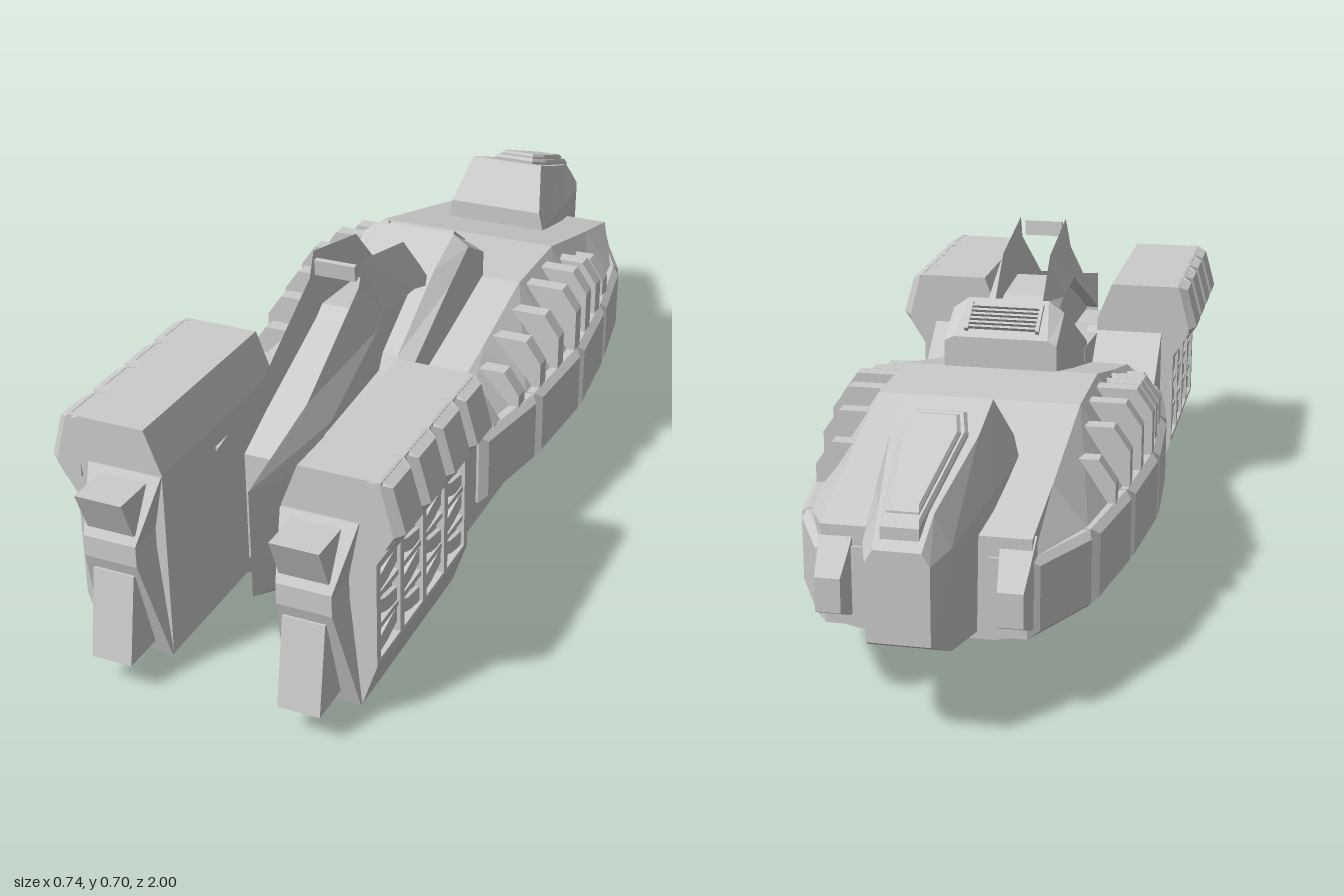
import * as THREE from 'three';

const material = new THREE.MeshStandardMaterial({ color: 0xcccccc, flatShading: true, side: THREE.DoubleSide });

// Closed solid through equal-length rings of [x, y, z] points, capped at both ends
function loft(rings) {
  const V = rings.map(r => r.map(p => new THREE.Vector3(...p)));
  const n = V[0].length, tris = [];
  for (let i = 0; i < V.length - 1; i++) {
    for (let j = 0; j < n; j++) {
      const k = (j + 1) % n;
      tris.push([V[i][j], V[i][k], V[i + 1][k]], [V[i][j], V[i + 1][k], V[i + 1][j]]);
    }
  }
  const cap = (ring, reverse) => {
    const normal = new THREE.Vector3();
    ring.forEach((p, j) => normal.add(p.clone().cross(ring[(j + 1) % n])));
    const a = normal.toArray().map(Math.abs), m = a.indexOf(Math.max(...a));
    const [u, v] = [['y', 'z'], ['x', 'z'], ['x', 'y']][m];
    const flat = ring.map(p => new THREE.Vector2(p[u], p[v]));
    for (const f of THREE.ShapeUtils.triangulateShape(flat, [])) {
      const [A, B, C] = f.map(q => ring[q]);
      const same = B.clone().sub(A).cross(C.clone().sub(A)).dot(normal) > 0;
      tris.push(same !== reverse ? [A, B, C] : [A, C, B]);
    }
  };
  cap(V[0], true);
  cap(V[V.length - 1], false);
  let volume = 0;
  for (const [A, B, C] of tris) volume += A.dot(B.clone().cross(C));
  const pos = [];
  for (const [A, B, C] of tris) {
    for (const p of volume > 0 ? [A, B, C] : [A, C, B]) pos.push(p.x, p.y, p.z);
  }
  const g = new THREE.BufferGeometry();
  g.setAttribute('position', new THREE.Float32BufferAttribute(pos, 3));
  g.computeVertexNormals();
  return g;
}

function add(parent, name, geometry) {
  const mesh = new THREE.Mesh(geometry, material);
  mesh.name = name;
  parent.add(mesh);
  return mesh;
}

// Symmetric cross-section at z from its right half, listed bottom to top
const section = (z, half) => [
  ...half.map(([x, y]) => [x, y, z]),
  ...half.slice().reverse().map(([x, y]) => [-x, y, z]),
];
const rect = (x0, x1, y0, y1, z) => [[x0, y0, z], [x1, y0, z], [x1, y1, z], [x0, y1, z]];
const atZ = (pts, z) => pts.map(([x, y]) => [x, y, z]);
const atX = (pts, x) => pts.map(([z, y]) => [x, y, z]);

// Outer half-width of the side belt along z
const beltPoints = [[0.32, 0.305], [0.09, 0.345], [-0.16, 0.36], [-0.4, 0.338], [-0.63, 0.3], [-0.81, 0.21]];
function beltX(z) {
  for (let i = 0; i < beltPoints.length - 1; i++) {
    const [z0, x0] = beltPoints[i], [z1, x1] = beltPoints[i + 1];
    if (z >= z1) return x0 + (x1 - x0) * (z - z0) / (z1 - z0);
  }
  return 0.21;
}

function buildSide(s) {
  const side = new THREE.Group();
  side.name = s > 0 ? 'leftSide' : 'rightSide';
  const solid = (name, rings) => add(side, name, loft(rings.map(r => r.map(([x, y, z]) => [x * s, y, z]))));
  const block = (name, x0, x1, y0, y1, z0, z1) => solid(name, [rect(x0, x1, y0, y1, z0), rect(x0, x1, y0, y1, z1)]);

  // Forward pod with a recessed outer wall
  const podOutline = [[0.125, 0.035], [0.283, 0.035], [0.315, 0.13], [0.315, 0.14], [0.298, 0.14], [0.298, 0.34],
    [0.315, 0.34], [0.315, 0.355], [0.352, 0.415], [0.35, 0.43], [0.325, 0.53], [0.16, 0.53], [0.125, 0.44]];
  solid('pod', [atZ(podOutline, 0.44), atZ(podOutline, 0.895)]);

  // Pod wall lattice with irregular plates
  for (let i = 0; i <= 4; i++) {
    const z = 0.45 + i * 0.109;
    block('podWallPost', 0.29, 0.315, 0.14, 0.34, z - 0.009, z + 0.009);
  }
  for (const y of [0.205, 0.275]) block('podWallRail', 0.29, 0.311, y - 0.006, y + 0.006, 0.45, 0.885);
  for (let i = 0; i < 4; i++) {
    for (let j = 0; j < 3; j++) {
      const z = 0.505 + i * 0.109, y = 0.172 + j * 0.068, t = (i + j) % 2 ? 0.012 : -0.012;
      const plate = [[z - 0.046, y - 0.022 + t], [z, y - 0.024], [z + 0.046, y - 0.018 - t],
        [z + 0.046, y + 0.012 - t], [z + 0.01, y + 0.01], [z - 0.046, y + 0.012 + t]];
      solid('podWallPlate', [atX(plate, 0.29), atX(plate, 0.308)]);
    }
  }

  // Four armour ridges on the pod shoulder
  for (let i = 0; i < 4; i++) {
    const z = 0.495 + i * 0.117;
    const inner = [[0.3, 0.4], [0.335, 0.395], [0.352, 0.425], [0.325, 0.53], [0.3, 0.53]];
    const outer = [[0.3, 0.405], [0.352, 0.405], [0.37, 0.43], [0.345, 0.52], [0.32, 0.531]];
    solid('podRidge', [atZ(inner, z - 0.055), atZ(outer, z - 0.04), atZ(outer, z + 0.04), atZ(inner, z + 0.055)]);
  }

  // Pod nose: faceted face, upper wedge and lower blade
  const noseRow = (x0, x1, y, z) => [[x0, y, 0.88], [x1, y, 0.88], [x1, y, z], [x0, y, z]];
  solid('podNose', [noseRow(0.125, 0.283, 0.035, 0.9), noseRow(0.147, 0.26, 0.275, 0.97),
    noseRow(0.147, 0.26, 0.32, 0.97), noseRow(0.125, 0.283, 0.437, 0.9)]);
  const wedge = [[0.89, 0.425], [1, 0.425], [0.965, 0.34], [0.89, 0.34]];
  solid('noseWedge', [atX(wedge, 0.152), atX(wedge, 0.252)]);
  const blade = [[0.89, 0.065], [1, 0.065], [0.968, 0.25], [0.89, 0.25]];
  solid('noseBlade', [atX(blade, 0.157), atX(blade, 0.245)]);

  // Tapered joint between pod and hull
  solid('podJoint', [rect(0.1, 0.285, 0.07, 0.42, 0.45), rect(0.1, 0.285, 0.16, 0.31, 0.31)]);

  // Bevelled belt panels
  for (let i = 0; i < beltPoints.length - 1; i++) {
    const za = beltPoints[i][0] - 0.003, zb = beltPoints[i + 1][0] + 0.003, b = 0.014;
    const ring = (d, inset) => [[za - inset, 0.155], [za - inset, 0.315], [zb + inset, 0.315], [zb + inset, 0.155]]
      .map(([z, y]) => [beltX(z) - d, y + (y > 0.2 ? -inset : inset), z]);
    solid('beltPanel', [ring(0.09, 0), ring(0.015, 0), ring(0, b)]);
  }

  // Row of ribs above the belt
  [0.365, 0.39, 0.42, 0.44, 0.46, 0.46, 0.44, 0.405].forEach((top, i) => {
    const z = 0.245 - i * 0.1015, x = beltX(z) - 0.015;
    const rib = [[0.19, 0.3], [x, 0.3], [x, top - 0.05], [x - 0.035, top], [0.19, top]];
    solid('rib', [atZ(rib, z - 0.018), atZ(rib, z + 0.018)]);
  });

  // Rear stub at the end of the belt
  solid('rearStub', [rect(0.14, 0.21, 0.17, 0.355, -0.78), rect(0.145, 0.205, 0.18, 0.31, -0.82), rect(0.15, 0.2, 0.2, 0.27, -0.86)]);

  // Keel skid
  const skid = (x, lift, d) => atX([[0.41 - d, 0.075], [0.32 - d, lift], [-0.2 + d, lift + 0.003], [-0.35 + d, 0.075]], x);
  solid('skid', [skid(0.125, 0, 0), skid(0.218, 0, 0), skid(0.235, 0.018, 0.01)]);
  return side;
}

export function createModel() {
  const model = new THREE.Group();
  model.name = 'spacecraft';

  // Main hull
  const hull = (z, xb, yb, xm, xt, yt) => section(z, [[xb, yb], [xm, 0.16], [xm, 0.31], [xt, yt]]);
  add(model, 'hull', loft([
    hull(0.35, 0.22, 0.066, 0.27, 0.215, 0.355), hull(0.1, 0.22, 0.066, 0.315, 0.215, 0.415),
    hull(-0.12, 0.22, 0.066, 0.33, 0.215, 0.472), hull(-0.34, 0.22, 0.07, 0.32, 0.215, 0.472),
    hull(-0.62, 0.18, 0.112, 0.28, 0.21, 0.4), hull(-0.8, 0.13, 0.145, 0.205, 0.205, 0.355)]));

  // Forward hull between the pods
  const front = [[0.69, 0.165], [0.69, 0.395], [0.54, 0.4], [0.25, 0.42], [0.25, 0.066], [0.5, 0.066]];
  add(model, 'forwardHull', loft([atX(front, -0.126), atX(front, 0.126)]));

  // Dorsal block with a grille on its sloping back
  const dorsal = (z, shoulder, top, xt) => section(z, [[0.125, 0.34], [0.125, shoulder], [xt, top]]);
  add(model, 'dorsalBlock', loft([dorsal(-0.125, 0.53, 0.54, 0.105), dorsal(-0.03, 0.58, 0.605, 0.09),
    dorsal(0.08, 0.53, 0.565, 0.09), dorsal(0.28, 0.43, 0.45, 0.09), dorsal(0.33, 0.36, 0.37, 0.1)]));
  const grille = new THREE.Group();
  grille.name = 'grille';
  grille.position.set(0, 0.574, -0.079);
  grille.rotation.x = -0.6;
  for (let i = 0; i < 6; i++) add(grille, 'grilleSlat', new THREE.BoxGeometry(0.15, 0.012, 0.006)).position.z = (i - 2.5) * 0.012;
  for (const s of [-1, 1]) add(grille, 'grilleFrame', new THREE.BoxGeometry(0.008, 0.016, 0.08)).position.x = s * 0.079;
  model.add(grille);

  // Bevelled central neck
  const crest = [[0.08, 0.57], [0.17, 0.66], [0.375, 0.703], [0.395, 0.65], [0.64, 0.505], [0.89, 0.445],
    [0.89, 0.215], [0.66, 0.105], [0.1, 0.105]];
  const flank = [[0.08, 0.53], [0.18, 0.56], [0.34, 0.57], [0.37, 0.55], [0.6, 0.45], [0.7, 0.4],
    [0.7, 0.16], [0.62, 0.105], [0.1, 0.105]];
  add(model, 'neck', loft([atX(crest, -0.055), atX(flank, -0.085), atX(flank, 0.085), atX(crest, 0.055)]));
  const vent = add(model, 'neckVent', new THREE.BoxGeometry(0.09, 0.034, 0.012));
  vent.position.set(0, 0.675, 0.386);
  vent.rotation.x = 0.1;

  // Rear head
  const head = (z, xb, yb, xm, ym, xt, yt) => section(z, [[xb, yb], [xm, ym], [xt, yt]]);
  add(model, 'head', loft([
    head(-0.535, 0.115, 0.25, 0.125, 0.42, 0.115, 0.465), head(-0.61, 0.115, 0.2, 0.122, 0.42, 0.09, 0.56),
    head(-0.72, 0.11, 0.148, 0.115, 0.41, 0.085, 0.52), head(-0.93, 0.08, 0.178, 0.083, 0.38, 0.052, 0.445),
    head(-1, 0.06, 0.215, 0.06, 0.37, 0.045, 0.395)]));

  // Canopy: two stacked plates following the slope of the head
  const canopy = (k, lift) => [[0.05, -0.66], [0.066, -0.72], [0.036, -0.98], [-0.036, -0.98], [-0.066, -0.72], [-0.05, -0.66]]
    .map(([x, z]) => {
      const zz = -0.82 + (z + 0.82) * k;
      return [x * k, 0.56 + (zz + 0.61) * 0.36 + lift, zz];
    });
  add(model, 'canopyFrame', loft([canopy(1, -0.03), canopy(1, 0.006), canopy(0.92, 0.014)]));
  add(model, 'canopy', loft([canopy(0.84, 0), canopy(0.84, 0.018), canopy(0.76, 0.025)]));

  model.add(buildSide(1), buildSide(-1));
  return model;
}
